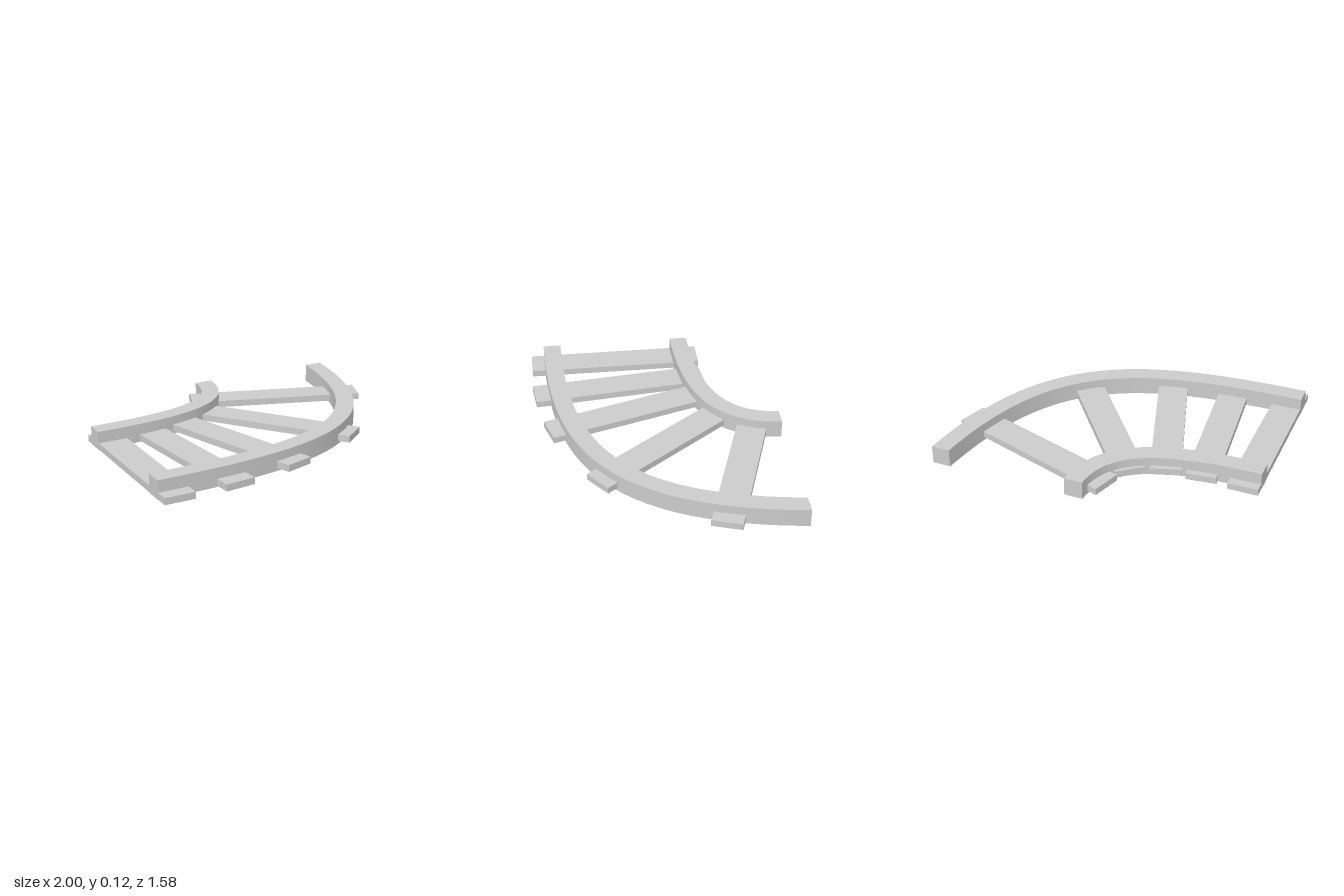
import * as THREE from 'three';
import { toCreasedNormals } from 'three/addons/utils/BufferGeometryUtils.js';

const material = new THREE.MeshStandardMaterial({ color: 0xcccccc });
const RAIL_WIDTH = 0.118, RAIL_HEIGHT = 0.12;

// Curved rail: a plan-view Bezier (x, z) offset to both sides and extruded upward
function makeRail(name, ...controls) {
  const curve = new THREE.CubicBezierCurve(...controls.map(([x, z]) => new THREE.Vector2(x, z)));
  const left = [], right = [], steps = 40;
  for (let i = 0; i <= steps; i++) {
    const t = i / steps;
    const p = curve.getPoint(t);
    const d = curve.getTangent(t);
    const n = new THREE.Vector2(-d.y, d.x);
    if (i === steps) n.set(1, 0); // square cut at the far end
    left.push(p.clone().addScaledVector(n, RAIL_WIDTH / 2));
    right.push(p.clone().addScaledVector(n, -RAIL_WIDTH / 2));
  }
  const shape = new THREE.Shape([...left, ...right.reverse()]);
  const geometry = new THREE.ExtrudeGeometry(shape, { depth: RAIL_HEIGHT, bevelEnabled: false });
  geometry.rotateX(Math.PI / 2).translate(0, RAIL_HEIGHT, 0);
  const mesh = new THREE.Mesh(toCreasedNormals(geometry, 0.5), material);
  mesh.name = name;
  return mesh;
}

export function createModel() {
  const group = new THREE.Group();
  group.name = 'curvedTrack';

  group.add(
    makeRail('outerRail', [-1, 0.633], [0.1, 0.633], [0.77, 0.45], [0.92, -0.8]),
    makeRail('innerRail', [-1, -0.26], [-0.35, -0.26], [0, -0.39], [0.025, -0.8])
  );

  // Cross ties fanning around the bend: x, z, centre height, turn
  const ties = [
    [-0.902, 0.2, 0.0225, 0],
    [-0.575, 0.198, 0.029, 0.106],
    [-0.247, 0.143, 0.042, 0.301],
    [0.137, -0.035, 0.042, 0.655],
    [0.415, -0.485, 0.042, 1.25],
  ];
  const tieGeometry = new THREE.BoxGeometry(0.193, 0.043, 1.16);
  ties.forEach(([x, z, y, turn], i) => {
    const tie = new THREE.Mesh(tieGeometry, material);
    tie.name = `crossTie${i + 1}`;
    tie.position.set(x, y, z);
    tie.rotation.y = turn;
    group.add(tie);
  });

  return group;
}
